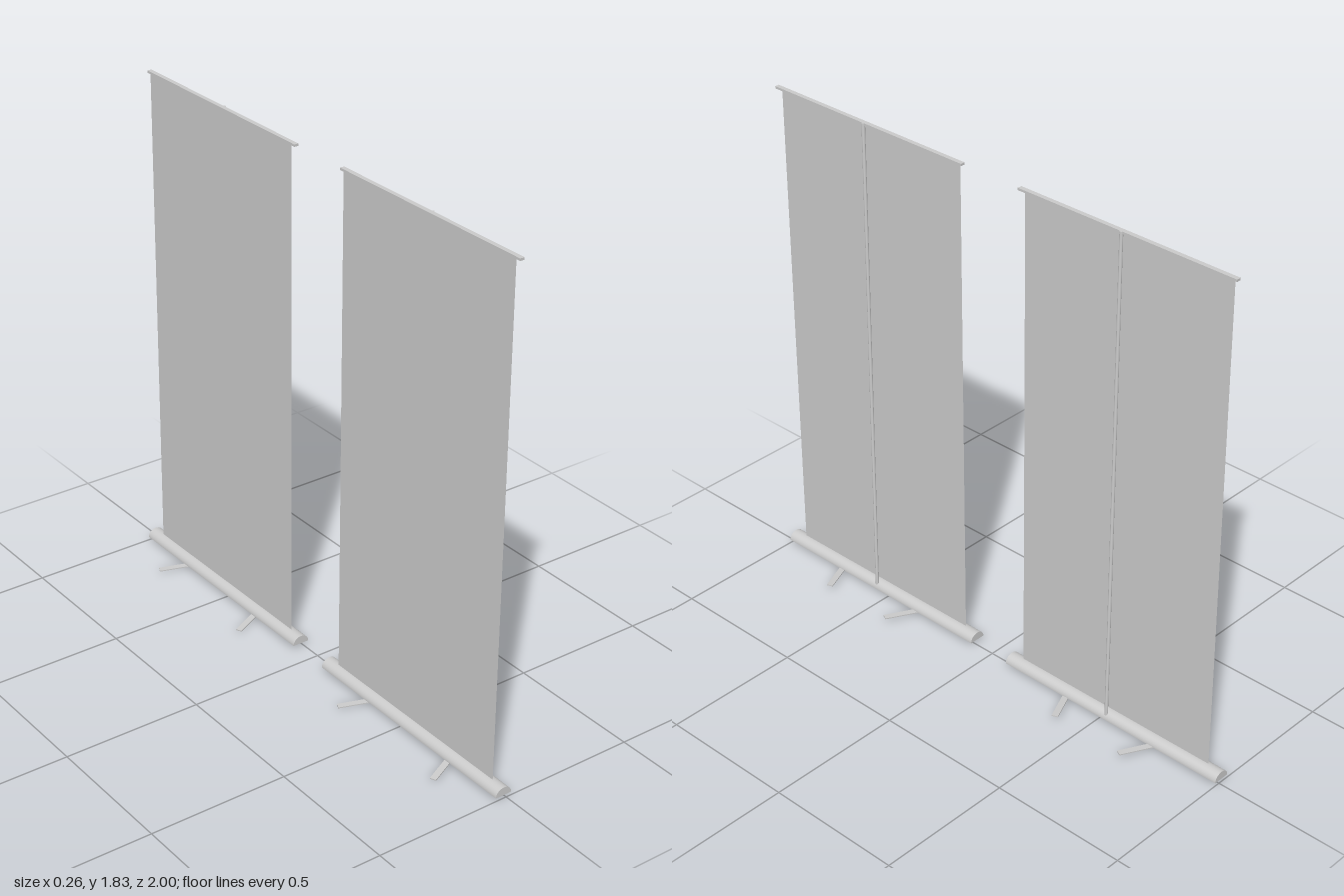
import * as THREE from 'three';

const grey = new THREE.MeshStandardMaterial({ color: 0xcccccc });
const greyThin = new THREE.MeshStandardMaterial({ color: 0xcccccc, side: THREE.DoubleSide });

const BASE_LENGTH = 0.918;
const TOP_Y = 1.833;

function addMesh(parent, name, geometry, material = grey) {
  const mesh = new THREE.Mesh(geometry, material);
  mesh.name = name;
  parent.add(mesh);
  return mesh;
}

// Swivelling foot: a thin bar running from a low back end to a raised front end
function addFoot(parent, name, side) {
  const start = new THREE.Vector3(-0.129, 0.004, side * 0.253);
  const end = new THREE.Vector3(0.125, 0.021, side * 0.139);
  const foot = new THREE.Mesh(new THREE.BoxGeometry(0.022, 0.004, start.distanceTo(end)), grey);
  foot.name = name;
  foot.position.lerpVectors(start, end, 0.5);
  foot.lookAt(end);
  parent.add(foot);
}

function createBannerStand() {
  const stand = new THREE.Group();

  // Cassette base: half-round section with a flat underside
  const section = new THREE.Shape();
  section.absellipse(0, 0, 0.031, 0.029, 0, Math.PI, false);
  section.closePath();
  const baseGeometry = new THREE.ExtrudeGeometry(section, {
    depth: BASE_LENGTH, bevelEnabled: false, curveSegments: 20,
  });
  baseGeometry.translate(-0.011, 0.014, -BASE_LENGTH / 2);
  addMesh(stand, 'base', baseGeometry);

  // Fabric sheet, leaning slightly from the cassette to the top rail
  const bottom = new THREE.Vector2(-0.013, 0.038);
  const top = new THREE.Vector2(-0.003, TOP_Y);
  const sheetGeometry = new THREE.PlaneGeometry(0.81, bottom.distanceTo(top));
  sheetGeometry.rotateY(Math.PI / 2);
  const sheet = addMesh(stand, 'bannerSheet', sheetGeometry, greyThin);
  sheet.position.set((bottom.x + top.x) / 2, (bottom.y + top.y) / 2, 0.002);
  sheet.rotation.z = -Math.atan2(top.x - bottom.x, top.y - bottom.y);

  // Rail clamping the top edge of the sheet
  const rail = addMesh(stand, 'topRail', new THREE.BoxGeometry(0.016, 0.008, 0.844));
  rail.position.set(0.003, TOP_Y, 0.003);

  // Support pole behind the sheet
  const poleBottom = 0.03;
  const poleTop = TOP_Y + 0.004;
  const pole = addMesh(stand, 'pole',
    new THREE.CylinderGeometry(0.006, 0.006, poleTop - poleBottom, 16));
  pole.position.set(0.01, (poleTop + poleBottom) / 2, 0.013);

  // Pair of splayed feet
  addFoot(stand, 'leftFoot', 1);
  addFoot(stand, 'rightFoot', -1);
  return stand;
}

export function createModel() {
  const model = new THREE.Group();
  model.name = 'bannerStands';
  // Two identical stands in a row
  [0.541, -0.541].forEach((z, i) => {
    const stand = createBannerStand();
    stand.name = i === 0 ? 'frontBannerStand' : 'backBannerStand';
    stand.position.z = z;
    model.add(stand);
  });
  return model;
}
